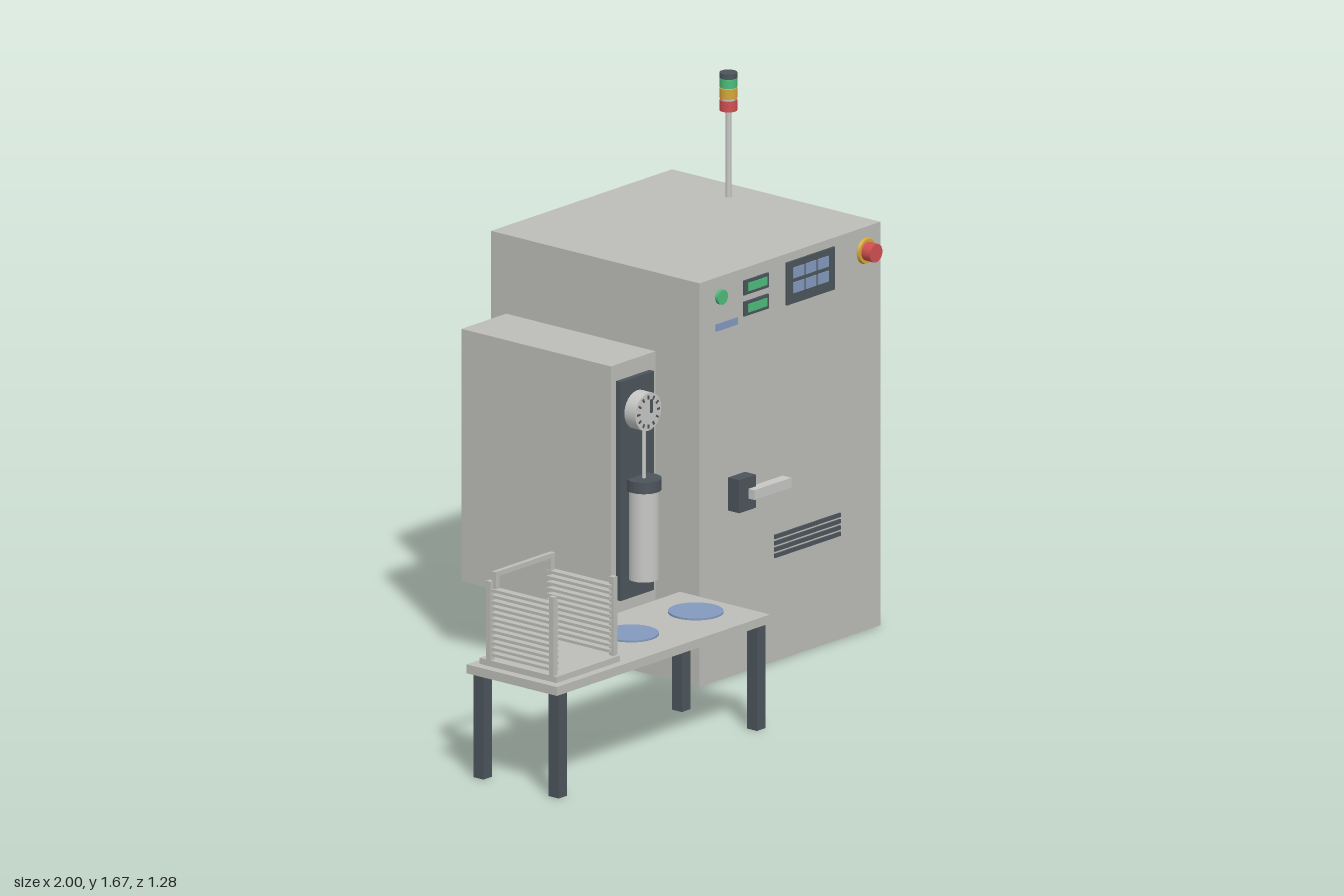
import * as THREE from 'three';

const mat = (name, color) => Object.assign(new THREE.MeshStandardMaterial({ color }), { name });

export function createModel() {
  const root = new THREE.Group();
  root.name = 'processingStation';
  const body = mat('body grey', 0xbcbcb8);
  const metal = mat('light metal', 0xc6c6c4);
  const dark = mat('dark slate', 0x4c555b);
  const blue = mat('wafer blue', 0x8299bd);
  const green = mat('signal green', 0x4dbb7c);
  const amber = mat('signal amber', 0xd4a637);
  const red = mat('signal red', 0xd04f50);

  const group = (name) => {
    const g = new THREE.Group();
    g.name = name;
    root.add(g);
    return g;
  };
  const add = (parent, name, geo, material, x, y, z) => {
    const m = new THREE.Mesh(geo, material);
    m.name = name;
    m.position.set(x, y, z);
    parent.add(m);
    return m;
  };
  // Box given by its limits on each axis
  const box = (parent, name, material, x0, x1, y0, y1, z0, z1) =>
    add(parent, name, new THREE.BoxGeometry(x1 - x0, y1 - y0, z1 - z0), material,
      (x0 + x1) / 2, (y0 + y1) / 2, (z0 + z1) / 2);
  // Upright cylinder from y0 to y1
  const post = (parent, name, material, r, x, z, y0, y1, n = 32) =>
    add(parent, name, new THREE.CylinderGeometry(r, r, y1 - y0, n), material, x, (y0 + y1) / 2, z);
  // Cylinder along z from z0 to z1, radius r0 at z0 and r1 at z1
  const disc = (parent, name, material, x, y, r0, r1, z0, z1) => {
    const m = add(parent, name, new THREE.CylinderGeometry(r1, r0, z1 - z0, 32), material, x, y, (z0 + z1) / 2);
    m.rotation.x = Math.PI / 2;
    return m;
  };

  // Main cabinet and its feet
  const cabinet = group('cabinet');
  box(cabinet, 'cabinetBody', body, 0.16, 1, 0.003, 1.28, -0.62, 0.212);
  for (const x of [0.2, 0.96]) for (const z of [-0.58, 0.17])
    box(cabinet, 'foot', dark, x - 0.028, x + 0.028, 0, 0.01, z - 0.028, z + 0.028);

  // Control panel
  const F = 0.212;
  const controls = group('controls');
  disc(controls, 'startButton', green, 0.255, 1.216, 0.023, 0.023, F, F + 0.012);
  box(controls, 'label', blue, 0.235, 0.335, 1.11, 1.133, F, F + 0.003);
  for (const y of [1.152, 1.219]) {
    box(controls, 'displayFrame', dark, 0.361, 0.475, y - 0.023, y + 0.023, F, F + 0.006);
    box(controls, 'display', green, 0.378, 0.464, y - 0.013, y + 0.013, F + 0.006, F + 0.009);
  }
  box(controls, 'keypad', dark, 0.56, 0.782, 1.118, 1.253, F, F + 0.006);
  for (let i = 0; i < 3; i++) for (const y of [1.168, 1.215])
    box(controls, 'key', blue, 0.587 + i * 0.057, 0.636 + i * 0.057, y - 0.017, y + 0.017, F + 0.006, F + 0.009);
  disc(controls, 'emergencyCollar', amber, 0.93, 1.205, 0.041, 0.038, F, F + 0.009);
  disc(controls, 'emergencyButton', red, 0.93, 1.205, 0.029, 0.029, F + 0.009, 0.255);

  // Door latch and front vent
  const latch = group('doorLatch');
  box(latch, 'latchBlock', dark, 0.293, 0.371, 0.53, 0.635, F, 0.256);
  box(latch, 'latchLever', metal, 0.335, 0.507, 0.567, 0.598, 0.245, 0.28);
  const vent = group('frontVent');
  for (let i = 0; i < 4; i++)
    box(vent, 'ventSlat', dark, 0.505, 0.81, 0.331 + i * 0.02, 0.344 + i * 0.02, F, F + 0.005);

  // Rear service panel
  const rear = group('rearPanel');
  box(rear, 'servicePanel', dark, 0.32, 0.845, 0.325, 0.9, -0.627, -0.62);
  for (let i = 0; i < 9; i++)
    box(rear, 'louver', body, 0.4, 0.775, 0.732 + i * 0.018, 0.743 + i * 0.018, -0.632, -0.627);
  for (let i = 0; i < 4; i++)
    disc(rear, 'connector', metal, 0.394 + i * 0.117, 0.475, 0.02, 0.02, -0.643, -0.627);
  box(rear, 'powerInlet', dark, 0.765, 0.84, 0.325, 0.375, -0.639, -0.627);

  // Signal tower
  const tower = group('signalTower');
  const tx = 0.895, tz = -0.305;
  post(tower, 'pole', metal, 0.009, tx, tz, 1.28, 1.56, 16);
  post(tower, 'lampCore', metal, 0.022, tx, tz, 1.56, 1.66, 24);
  [[red, 1.555, 1.588], [amber, 1.595, 1.626], [green, 1.629, 1.657], [dark, 1.658, 1.675]]
    .forEach(([m, a, b], i) => post(tower, i < 3 ? 'lamp' : 'lampCap', m, 0.027, tx, tz, a, b));

  // Side housing with piston and gauge
  const side = group('sideHousing');
  const px = 0.055;
  box(side, 'housing', body, -0.047, 0.16, 0.232, 1.03, -0.56, 0.036);
  box(side, 'housingPanel', dark, -0.022, 0.132, 0.285, 0.978, 0.036, 0.054);
  post(side, 'cylinder', metal, 0.047, px, 0.08, 0.345, 0.627);
  post(side, 'cylinderCap', dark, 0.054, px, 0.08, 0.627, 0.663);
  post(side, 'rod', metal, 0.006, px, 0.08, 0.663, 0.83, 16);
  disc(side, 'gauge', metal, px, 0.875, 0.06, 0.06, 0.054, 0.098);
  for (let i = 0; i < 12; i++) {
    const a = (i / 12) * Math.PI * 2;
    const tick = add(side, 'gaugeTick', new THREE.BoxGeometry(0.006, 0.012, 0.003), dark,
      px + 0.046 * Math.sin(a), 0.875 + 0.046 * Math.cos(a), 0.099);
    tick.rotation.z = -a;
  }
  box(side, 'gaugeNeedle', dark, 0.063, 0.071, 0.87, 0.912, 0.098, 0.102);

  // Table
  const table = group('table');
  box(table, 'tableTop', body, -1, -0.01, 0.329, 0.357, 0.28, 0.64);
  for (const x of [-0.966, -0.045]) for (const z of [0.315, 0.615])
    box(table, 'tableLeg', dark, x - 0.02, x + 0.02, 0, 0.329, z - 0.02, z + 0.02);
  for (const x of [-0.44, -0.14])
    post(table, 'wafer', blue, 0.084, x, 0.455, 0.357, 0.363, 48);

  // Slatted carrier
  const carrier = group('carrier');
  const cx = -0.822;
  box(carrier, 'carrierBase', body, -0.97, -0.674, 0.357, 0.376, 0.305, 0.612);
  for (const s of [-1, 1]) {
    const x = cx + s * 0.139;
    for (const z of [0.34, 0.592])
      box(carrier, 'carrierPost', body, x - 0.009, x + 0.009, 0.376, 0.625, z - 0.009, z + 0.009);
    for (let i = 0; i < 12; i++) {
      const y = 0.393 + i * 0.0185, sx = cx + s * 0.13;
      box(carrier, 'carrierSlat', body, sx - 0.013, sx + 0.013, y - 0.0045, y + 0.0045, 0.345, 0.595);
    }
    const hx = cx + s * 0.128;
    box(carrier, 'handlePost', body, hx - 0.008, hx + 0.008, 0.6, 0.645, 0.345, 0.361);
  }
  box(carrier, 'handleBar', body, cx - 0.137, cx + 0.137, 0.64, 0.655, 0.345, 0.361);

  return root;
}
